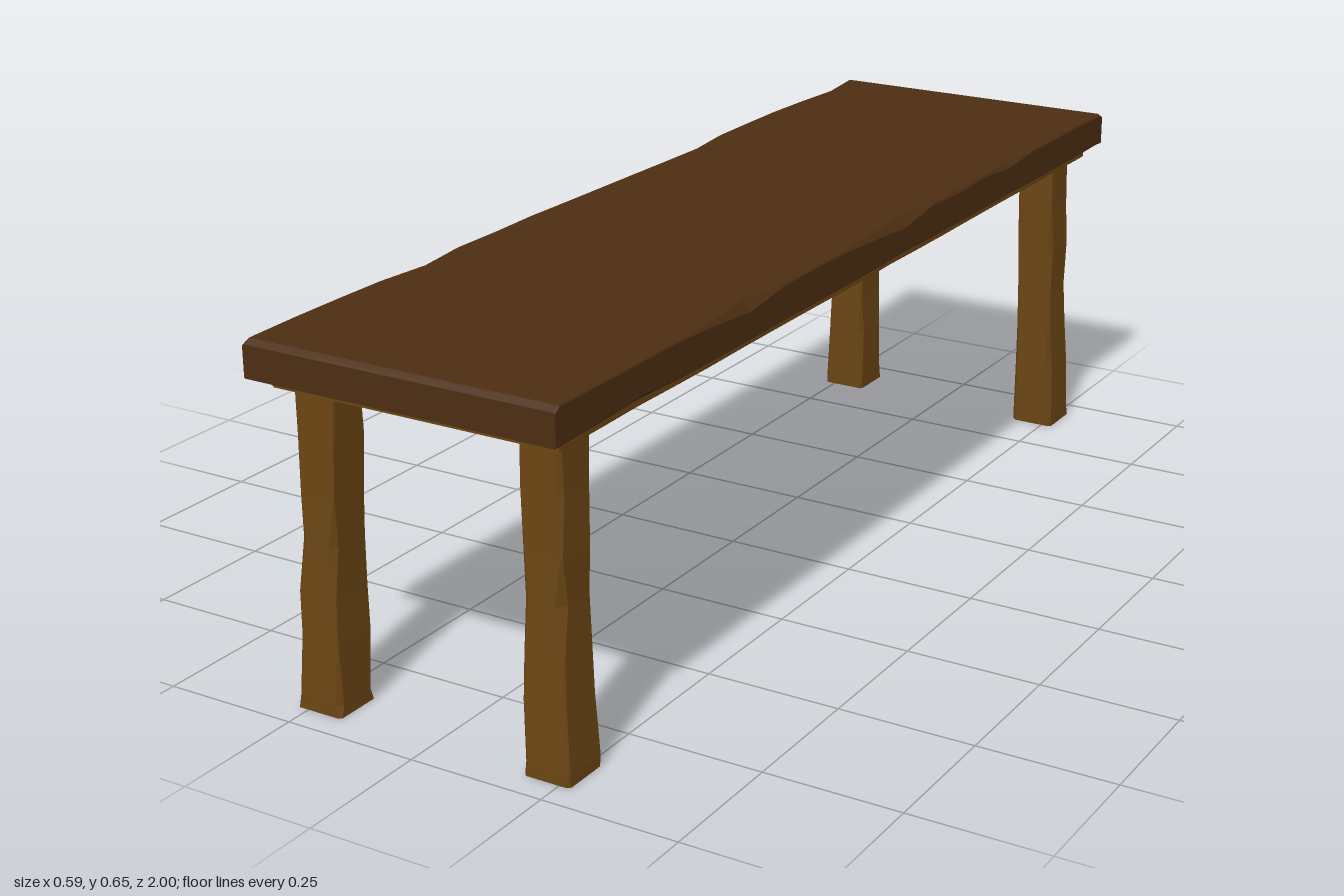
import * as THREE from 'three';

const darkWood = new THREE.MeshStandardMaterial({ color: 0x4c2d12, flatShading: true });
const lightWood = new THREE.MeshStandardMaterial({ color: 0x6b4513, flatShading: true });

// Small seeded random for the hand-hewn wear
function seeded(seed) {
  let s = seed;
  return () => (s = (s * 16807) % 2147483647) / 2147483647;
}

// Skins counter-clockwise rings that advance along +z, with both ends closed
function loft(rings) {
  const pos = [];
  const n = rings[0].length;
  const tri = (a, b, c) => pos.push(...a, ...b, ...c);
  for (let i = 0; i < rings.length - 1; i++) {
    for (let j = 0; j < n; j++) {
      const k = (j + 1) % n;
      const [a, b, c, d] = [rings[i][j], rings[i][k], rings[i + 1][k], rings[i + 1][j]];
      tri(a, b, c);
      tri(a, c, d);
    }
  }
  const first = rings[0], last = rings[rings.length - 1];
  for (let j = 1; j < n - 1; j++) {
    tri(first[0], first[j + 1], first[j]);
    tri(last[0], last[j], last[j + 1]);
  }
  const geo = new THREE.BufferGeometry();
  geo.setAttribute('position', new THREE.Float32BufferAttribute(pos, 3));
  geo.computeVertexNormals();
  return geo;
}

// Rectangle with a separate cut on each corner: bottom left, bottom right, top right, top left
function cutRect(x0, x1, y0, y1, z, [bl, br, tr, tl]) {
  return [
    [x0 + bl, y0, z], [x1 - br, y0, z], [x1, y0 + br, z], [x1, y1 - tr, z],
    [x1 - tr, y1, z], [x0 + tl, y1, z], [x0, y1 - tl, z], [x0, y0 + bl, z],
  ];
}

// Plank along z with chipped long edges and slightly worn ends
function plank(halfW, y0, y1, halfL, chip, endDrop, seed) {
  const rnd = seeded(seed);
  const steps = 18;
  const rings = [cutRect(-halfW, halfW, y0, y1 - endDrop, -halfL, [0.002, 0.002, 0.002, 0.002])];
  for (let i = 0; i <= steps; i++) {
    const t = i / steps;
    const z = (t * 2 - 1) * (halfL - 0.012);
    const cuts = [0.5, 0.5, 1, 1].map((k) => 0.002 + chip * k * rnd() ** 2);
    rings.push(cutRect(-halfW, halfW, y0, y1, z, cuts));
  }
  rings.push(cutRect(-halfW, halfW, y0, y1 - endDrop, halfL, [0.002, 0.002, 0.002, 0.002]));
  return loft(rings);
}

// Hewn leg for the +x, +z corner: height, inner x, outer x, inner z, outer z
const legProfile = [
  [0, 0.182, 0.27, 0.86, 0.95],
  [0.02, 0.182, 0.27, 0.86, 0.95],
  [0.13, 0.183, 0.264, 0.859, 0.946],
  [0.21, 0.185, 0.26, 0.858, 0.943],
  [0.3, 0.184, 0.258, 0.857, 0.94],
  [0.38, 0.182, 0.257, 0.856, 0.937],
  [0.48, 0.18, 0.255, 0.853, 0.934],
  [0.575, 0.179, 0.254, 0.851, 0.932],
];

function leg(sx, sz, seed) {
  const rnd = seeded(seed);
  const rings = legProfile.map(([h, xi, xo, zi, zo], i) => {
    const xs = [xi * sx, xo * sx].sort((a, b) => a - b);
    const zs = [-zi * sz, -zo * sz].sort((a, b) => a - b);
    const cuts = [0, 1, 2, 3].map(() => 0.002 + 0.009 * rnd() ** 2);
    // One deeper chip on the outer corner at mid height
    if (i === 4) cuts[(sz > 0 ? 0 : 2) + (sx * sz > 0 ? 1 : 0)] = 0.015;
    return cutRect(xs[0], xs[1], zs[0], zs[1], h, cuts);
  });
  return loft(rings).rotateX(-Math.PI / 2);
}

export function createModel() {
  const group = new THREE.Group();
  const add = (name, geo, mat) => {
    const mesh = new THREE.Mesh(geo, mat);
    mesh.name = name;
    group.add(mesh);
  };

  // Thick top board on a thinner supporting board
  add('tableTop', plank(0.295, 0.59, 0.655, 1, 0.02, 0.008, 41771), darkWood);
  add('underBoard', plank(0.273, 0.567, 0.592, 0.96, 0.006, 0, 90233), lightWood);

  // Four legs
  let seed = 1237;
  for (const [sz, end] of [[1, 'front'], [-1, 'back']]) {
    for (const [sx, side] of [[1, 'Left'], [-1, 'Right']]) {
      add(`${end}${side}Leg`, leg(sx, sz, (seed += 77711)), lightWood);
    }
  }
  return group;
}
